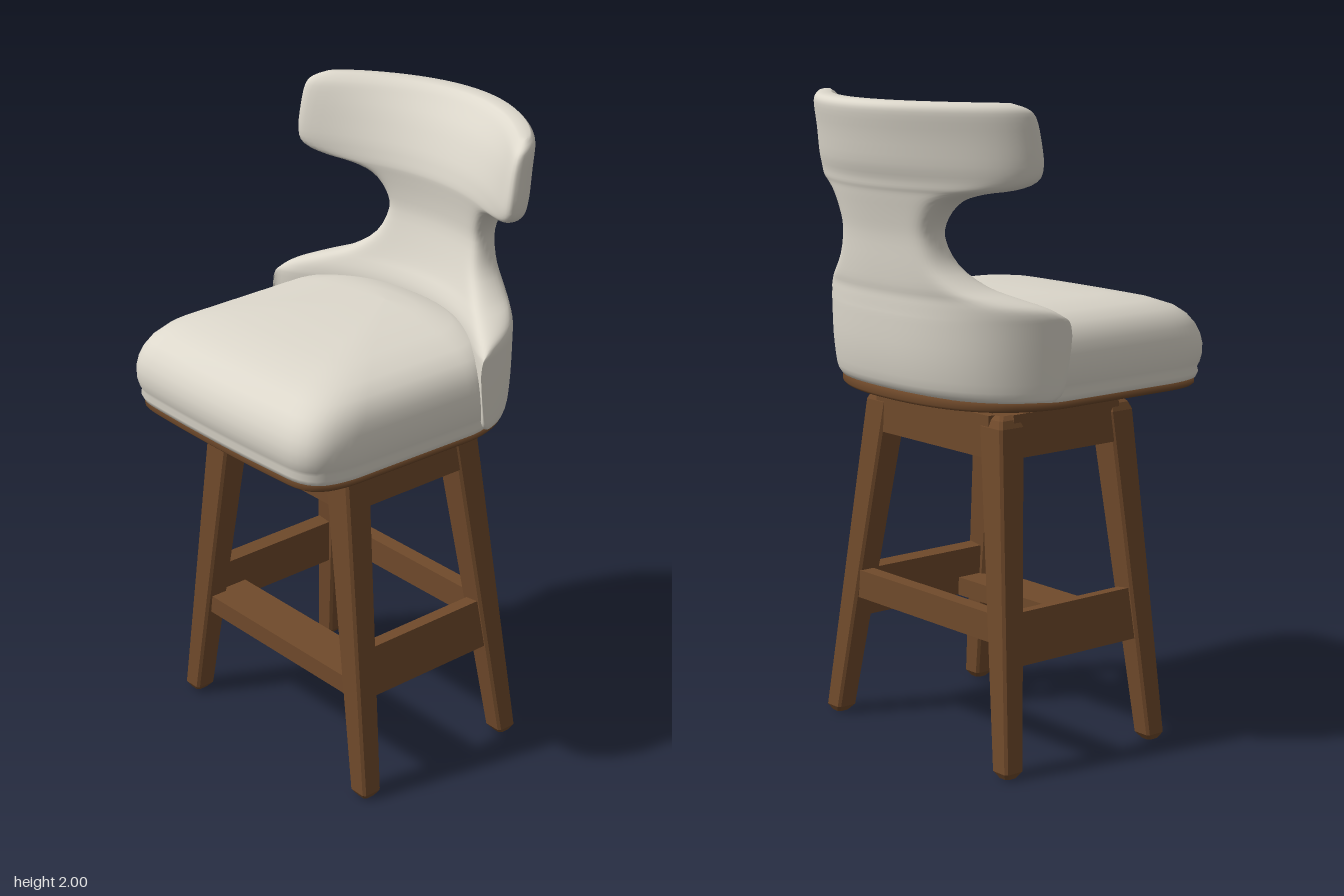
import * as THREE from 'three';

const cream = new THREE.MeshStandardMaterial({ color: 0xddd8cc });
cream.name = 'creamUpholstery';
const wood = new THREE.MeshStandardMaterial({ color: 0x704a2b });
wood.name = 'brownWood';

// Skin a stack of closed rings (each counter-clockwise seen from above, bottom to top)
function loft(rings, flat = false) {
  const n = rings[0].length, pos = [], idx = [];
  rings.forEach(r => r.forEach(p => pos.push(p.x, p.y, p.z)));
  for (let i = 0; i < rings.length - 1; i++) {
    for (let j = 0; j < n; j++) {
      const k = (j + 1) % n;
      const a = i * n + j, b = i * n + k, c = b + n, d = a + n;
      idx.push(a, b, c, a, c, d);
    }
  }
  let g = new THREE.BufferGeometry();
  g.setAttribute('position', new THREE.Float32BufferAttribute(pos, 3));
  g.setIndex(idx);
  if (flat) g = g.toNonIndexed();
  g.computeVertexNormals();
  return g;
}

function add(parent, name, geometry, material, x = 0, y = 0, z = 0) {
  const m = new THREE.Mesh(geometry, material);
  m.name = name;
  m.position.set(x, y, z);
  parent.add(m);
  return m;
}

// Plan outline of the seat, as (x, z), with a rounded back reaching backZ
function seatOutline(backZ) {
  const s = new THREE.Shape();
  s.moveTo(0.47, -0.1);
  s.bezierCurveTo(0.46, backZ + 0.09, 0.28, backZ, 0, backZ);
  s.bezierCurveTo(-0.28, backZ, -0.46, backZ + 0.09, -0.47, -0.1);
  s.lineTo(-0.463, 0.36);
  s.bezierCurveTo(-0.455, 0.48, -0.42, 0.515, -0.34, 0.523);
  s.quadraticCurveTo(0, 0.54, 0.34, 0.523);
  s.bezierCurveTo(0.42, 0.515, 0.455, 0.48, 0.463, 0.36);
  s.lineTo(0.47, -0.1);
  return s.getSpacedPoints(120).slice(0, -1);
}

// Rings of the seat outline scaled about centreZ: [scale, y]
function seatLoft(profile, centreZ, backZ) {
  const outline = seatOutline(backZ);
  return loft(profile.map(([s, y]) => outline.map(p =>
    new THREE.Vector3(p.x * s, y, centreZ + (p.y - centreZ) * s))));
}

// Wrapped T-shaped backrest: y, half width, outer z, inner z, outer wrap, inner wrap
const backRows = [
  [1.13, 0.465, -0.40, -0.30, 0.31, 0.20],
  [1.16, 0.478, -0.42, -0.29, 0.325, 0.20],
  [1.25, 0.483, -0.435, -0.285, 0.335, 0.205],
  [1.35, 0.484, -0.44, -0.285, 0.34, 0.205],
  [1.38, 0.477, -0.44, -0.285, 0.335, 0.20],
  [1.405, 0.45, -0.44, -0.29, 0.33, 0.195],
  [1.43, 0.39, -0.44, -0.30, 0.32, 0.19],
  [1.46, 0.315, -0.445, -0.315, 0.30, 0.19],
  [1.52, 0.24, -0.45, -0.335, 0.28, 0.175],
  [1.60, 0.21, -0.455, -0.355, 0.26, 0.16],
  [1.66, 0.225, -0.465, -0.355, 0.25, 0.16],
  [1.71, 0.27, -0.475, -0.35, 0.24, 0.165],
  [1.735, 0.34, -0.48, -0.347, 0.235, 0.17],
  [1.75, 0.42, -0.485, -0.347, 0.23, 0.175],
  [1.775, 0.47, -0.49, -0.352, 0.225, 0.185],
  [1.82, 0.485, -0.505, -0.365, 0.225, 0.20],
  [1.90, 0.485, -0.52, -0.40, 0.225, 0.225],
  [1.96, 0.482, -0.533, -0.44, 0.23, 0.25],
  [1.985, 0.47, -0.533, -0.46, 0.235, 0.25],
  [2.0, 0.44, -0.52, -0.48, 0.24, 0.25],
];

function backRing([y, w, zo, zi, ao, ai], thickness = 1) {
  const N = 32, ring = [];
  const low = 1 - THREE.MathUtils.smoothstep(y, 1.35, 1.95);
  const point = (v, side) => {
    const s = Math.sin(v * Math.PI / 2), x = s * w;
    const q = Math.min(1, Math.abs(x) / 0.485);
    // the lower shell hugs the seat, the upper band curves gently
    const hug = 1 - Math.sqrt(1 - q ** 2.5);
    const outer = zo + ao * THREE.MathUtils.lerp(q * q, hug, low);
    const inner = Math.max(zi + ai * q * q, outer + 0.01);
    const round = Math.sqrt(Math.max(0, 1 - Math.abs(s) ** 14)) * thickness;
    return new THREE.Vector3(x, y, (outer + inner) / 2 + side * round * (inner - outer) / 2);
  };
  for (let i = 0; i < N; i++) ring.push(point(1 - 2 * i / N, -1));
  for (let i = 0; i < N; i++) ring.push(point(-1 + 2 * i / N, 1));
  return ring;
}

function backrest() {
  const curve = (a, b, c) => new THREE.CatmullRomCurve3(
    backRows.map(r => new THREE.Vector3(r[a], r[b], r[c])), false, 'catmullrom', 0.5);
  const c1 = curve(0, 1, 2), c2 = curve(3, 4, 5);
  const steps = (backRows.length - 1) * 3;
  const rings = [backRing(backRows[0], 0)];
  for (let i = 0; i <= steps; i++) {
    const t = i / steps;
    rings.push(backRing([...c1.getPoint(t).toArray(), ...c2.getPoint(t).toArray()]));
  }
  rings.push(backRing(backRows[backRows.length - 1], 0));
  return loft(rings);
}

// Chamfered rectangle between x0..x1 and z0..z1
function section(y, x0, x1, z0, z1, c) {
  return [[x1, z1 - c], [x1, z0 + c], [x1 - c, z0], [x0 + c, z0],
    [x0, z0 + c], [x0, z1 - c], [x0 + c, z1], [x1 - c, z1]]
    .map(([x, z]) => new THREE.Vector3(x, y, z));
}

// Splayed, tapering leg; sx and sz pick the corner
function leg(sx, sz) {
  const topZ = sz > 0 ? 0.288 : 0.24;
  const at = (y, shrink) => {
    const t = y / 1.07;
    const xo = THREE.MathUtils.lerp(0.456, 0.328, t) - shrink;
    const xi = THREE.MathUtils.lerp(0.388, 0.224, t) + shrink;
    const zo = THREE.MathUtils.lerp(0.324, topZ, t) - shrink;
    const zi = THREE.MathUtils.lerp(0.254, topZ - 0.095, t) + shrink;
    return section(y, Math.min(sx * xo, sx * xi), Math.max(sx * xo, sx * xi),
      Math.min(sz * zo, sz * zi), Math.max(sz * zo, sz * zi), 0.008);
  };
  const tip = (y, ring) => {
    const c = ring.reduce((s, p) => s.add(p), new THREE.Vector3()).divideScalar(ring.length);
    return ring.map(() => c.clone().setY(y));
  };
  const foot = at(0, 0.014), top = at(1.07, 0.022);
  return loft([tip(0, foot), foot, at(0.02, 0), at(1.035, 0), at(1.058, 0.008), top, tip(1.07, top)], true);
}

export function createModel() {
  const stool = new THREE.Group();
  stool.name = 'swivelStool';
  const box = (w, h, d) => new THREE.BoxGeometry(w, h, d);

  // Upholstery
  add(stool, 'seatCushion', seatLoft([
    [0, 1.12], [0.955, 1.12], [0.975, 1.126], [0.985, 1.142], [0.98, 1.158], [0.99, 1.172],
    [1, 1.2], [1, 1.232], [0.99, 1.262], [0.97, 1.292], [0.938, 1.32], [0.885, 1.347],
    [0.785, 1.372], [0.6, 1.392], [0.3, 1.402], [0, 1.405]], -0.15, -0.36), cream);
  add(stool, 'backrest', backrest(), cream);

  // Seat board with slats and swivel below
  add(stool, 'seatBoard', seatLoft([
    [0, 1.1], [0.95, 1.1], [0.965, 1.108], [0.965, 1.134], [0, 1.134]], 0, -0.42), wood);
  for (let i = 0; i < 5; i++) {
    add(stool, 'seatSlat', box(0.6, 0.02, 0.06), wood, 0, 1.093, 0.26 - i * 0.12);
  }
  add(stool, 'swivel', new THREE.CylinderGeometry(0.2, 0.12, 0.035, 32), wood, 0, 1.08, 0.02);
  add(stool, 'swivelPlate', box(0.46, 0.025, 0.42), wood, 0, 1.06, 0.025);

  // Legs, side aprons and side stretchers
  for (const sx of [1, -1]) {
    add(stool, 'frontLeg', leg(sx, 1), wood);
    add(stool, 'backLeg', leg(sx, -1), wood);
    const apron = add(stool, 'sideApron', box(0.07, 0.13, 0.42), wood, sx * 0.296, 1.004, 0.024);
    apron.rotation.z = sx * 0.12;
    const stretcher = add(stool, 'sideStretcher', box(0.05, 0.16, 0.49), wood, sx * 0.37, 0.404, 0.005);
    stretcher.rotation.z = sx * 0.13;
  }

  // Front and back rails, with a deep plank as footrest
  add(stool, 'frontApron', box(0.55, 0.13, 0.07), wood, 0, 1.005, 0.253);
  add(stool, 'backApron', box(0.55, 0.13, 0.07), wood, 0, 1.005, -0.207);
  add(stool, 'footrest', box(0.7, 0.06, 0.15), wood, 0, 0.352, 0.22);
  add(stool, 'backStretcher', box(0.68, 0.09, 0.05), wood, 0, 0.44, -0.257);

  return stool;
}
